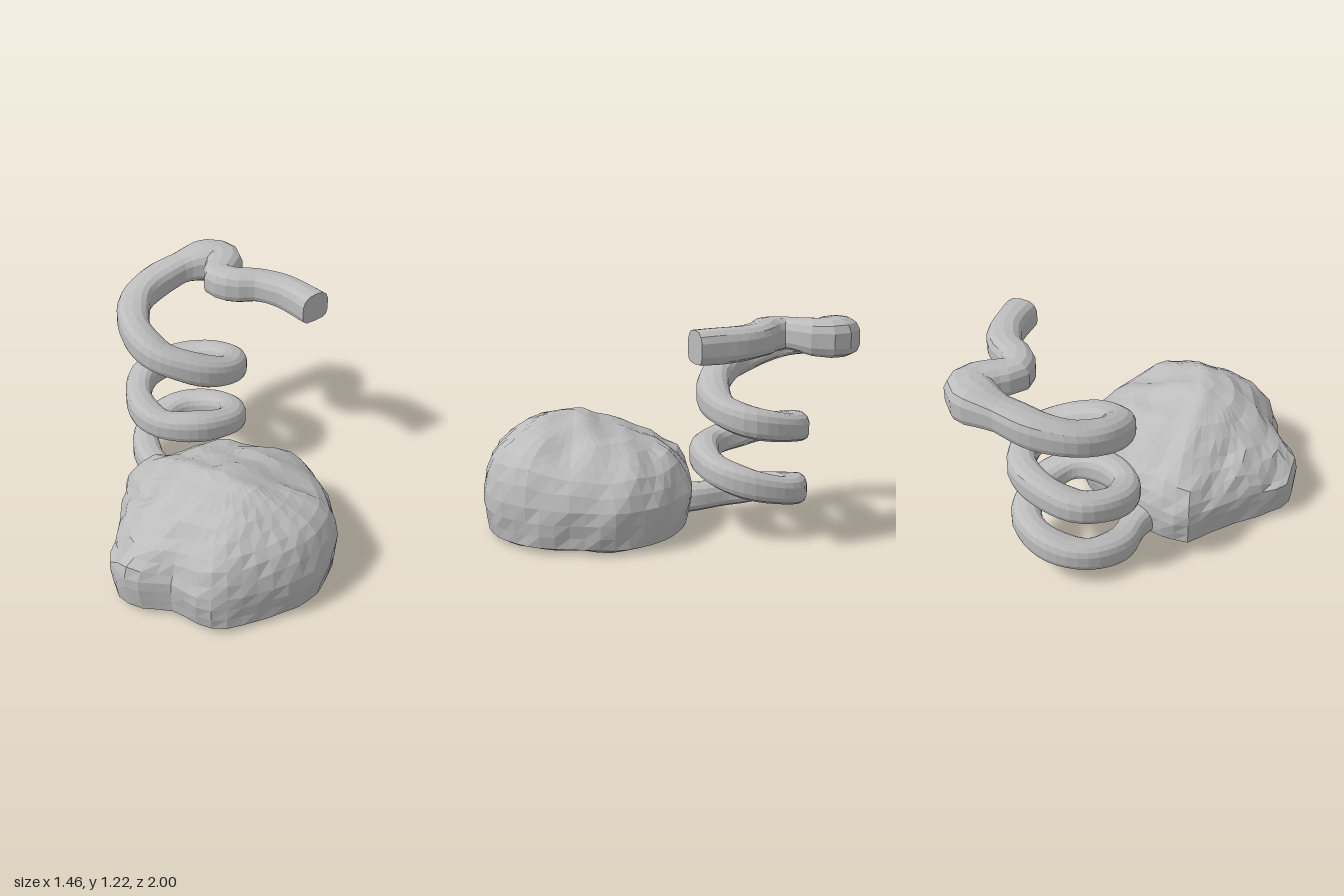
import * as THREE from 'three';

const V = (x, y, z) => new THREE.Vector3(x, y, z);
const ramp = (v) => Math.min(1, Math.max(0, v));

// Skin a list of rings, each with the same number of points
function loft(rings) {
  const n = rings[0].length, index = [];
  for (let j = 0; j < rings.length - 1; j++) {
    for (let i = 0; i < n; i++) {
      const k = (i + 1) % n;
      const a = j * n + i, b = j * n + k, c = a + n, d = b + n;
      index.push(a, c, b, b, c, d);
    }
  }
  const g = new THREE.BufferGeometry().setFromPoints(rings.flat());
  g.setIndex(index);
  g.computeVertexNormals();
  return g;
}

// Smooth deterministic bumps, roughly -1..1
const bump = (x, y, z) =>
  0.45 * Math.sin(13 * x + 5 * y + 2.1) * Math.cos(11 * z - 6 * y) +
  0.3 * Math.sin(23 * z + 9 * x + 17 * y) + 0.25 * Math.cos(31 * x - 19 * z + 22 * y);

// Ground outline of the boulder (x, z), clockwise from above
const OUTLINE = [
  [-0.475, -0.085], [-0.4, -0.125], [-0.26, -0.145], [0, -0.15], [0.16, -0.12], [0.35, -0.03],
  [0.48, 0.11], [0.54, 0.24], [0.52, 0.45], [0.49, 0.66], [0.37, 0.85], [0.24, 0.94],
  [0.03, 0.99], [-0.28, 0.985], [-0.39, 0.91], [-0.47, 0.79], [-0.66, 0.69], [-0.725, 0.55],
  [-0.68, 0.4], [-0.6, 0.24], [-0.515, 0.03],
];
// Boulder profile: share of the outline, height
const PROFILE = [
  [0, 0.018], [0.2, 0.018], [0.4, 0.018], [0.6, 0.018], [0.78, 0.018], [0.92, 0.018], [0.97, 0.035],
  [0.985, 0.1], [1, 0.17], [1, 0.24], [0.965, 0.315], [0.91, 0.385], [0.83, 0.435],
  [0.72, 0.475], [0.6, 0.515], [0.48, 0.545], [0.36, 0.575], [0.25, 0.605], [0.14, 0.63], [0, 0.64],
];

function boulder() {
  const cx = -0.1, cz = 0.5, n = 48;
  const curve = new THREE.CatmullRomCurve3(OUTLINE.map(([x, z]) => V(x, 0, z)), true);
  const edge = curve.getSpacedPoints(n).slice(0, n);
  return loft(PROFILE.map(([s, h]) => edge.map((p) => {
    // the outline grows rounder towards the crown
    const r = Math.hypot(p.x - cx, p.z - cz);
    const k = s * THREE.MathUtils.lerp(1, 0.56 / r, ramp((1 - s) * 1.3));
    const x = cx + (p.x - cx) * k, z = cz + (p.z - cz) * k;
    const b = bump(x, h, z);
    const side = 1 + 0.028 * (b - 0.1) * ramp(s * 2);
    // fuller front shoulder, lower left and front-left shoulders
    const shape = 0.045 * ramp((z - cz) / 0.15) * ramp(s * 3)
      - 0.045 * ramp((-0.3 - x) / 0.15) - 0.045 * ramp(((z - x) * 0.707 - 0.6) / 0.2);
    const y = h + shape * ramp((h - 0.2) / 0.15) + (h < 0.03 ? 0.014 : h > 0.3 ? 0.022 : 0.006) * b;
    return V(cx + (x - cx) * side, y, cz + (z - cz) * side);
  })));
}

// Centre line of the coil, from the boulder upwards
const PATH = [
  [-0.18, 0.11, -0.03], [-0.195, 0.12, -0.2], [-0.25, 0.14, -0.4], [-0.2, 0.18, -0.6],
  [0, 0.23, -0.71], [0.19, 0.265, -0.65], [0.275, 0.32, -0.46], [0.2, 0.38, -0.28],
  [0, 0.425, -0.215], [-0.2, 0.445, -0.28], [-0.275, 0.485, -0.46], [-0.2, 0.54, -0.65],
  [0, 0.58, -0.71], [0.2, 0.615, -0.65], [0.28, 0.66, -0.46], [0.2, 0.71, -0.31],
  [0, 0.785, -0.26], [-0.19, 0.87, -0.33], [-0.27, 0.94, -0.5], [-0.22, 1.01, -0.7],
  [-0.1, 1.05, -0.8], [0.05, 1.09, -0.85], [0.19, 1.115, -0.875], [0.3, 1.12, -0.865],
  [0.34, 1.12, -0.79], [0.3, 1.13, -0.7], [0.25, 1.13, -0.61], [0.31, 1.13, -0.52],
  [0.44, 1.13, -0.47], [0.55, 1.125, -0.37], [0.61, 1.12, -0.25], [0.65, 1.12, -0.14],
];

function coil() {
  const curve = new THREE.CatmullRomCurve3(PATH.map((p) => V(...p)));
  const steps = 120, sides = 14, rings = [], elbow = V(0.28, 1.12, -0.84);
  const soft = (v, e) => Math.sign(v) * Math.pow(Math.abs(v), e);
  for (let j = 0; j <= steps; j++) {
    const p = curve.getPointAt(j / steps), t = curve.getTangentAt(j / steps);
    const side = V(t.z, 0, -t.x).normalize();
    // slimmer lower turns, full upper turn, swollen elbow
    const swell = ramp(1.5 - p.distanceTo(elbow) / 0.12);
    const w = 0.078 + 0.011 * ramp((p.y - 0.6) / 0.2) + 0.035 * swell + 0.004 * Math.sin(j * 0.9);
    const h = 0.078 + 0.006 * ramp((p.y - 0.6) / 0.2) + 0.014 * swell + 0.004 * Math.sin(j * 0.7 + 1);
    const ring = [];
    for (let i = 0; i < sides; i++) {
      // rounded above, flat below
      const a = -(i + 0.5) / sides * Math.PI * 2;
      const e = Math.sin(a) > 0 ? 0.78 : 0.5;
      ring.push(p.clone().addScaledVector(side, w * soft(Math.cos(a), e))
        .add(V(0, h * soft(Math.sin(a), e), 0)));
    }
    const cap = () => ring.map(() => p.clone());
    if (j === 0) rings.push(cap());
    rings.push(ring);
    if (j === steps) rings.push(cap());
  }
  return loft(rings);
}

export function createModel() {
  const group = new THREE.Group();
  group.name = 'boulderWithCoil';
  const stone = new THREE.MeshStandardMaterial({ color: 0xbcbcbc, flatShading: true });
  stone.name = 'stoneGrey';
  const add = (name, geometry) => {
    const mesh = new THREE.Mesh(geometry, stone);
    mesh.name = name;
    group.add(mesh);
  };
  add('boulder', boulder());
  add('spiralCoil', coil());
  return group;
}
